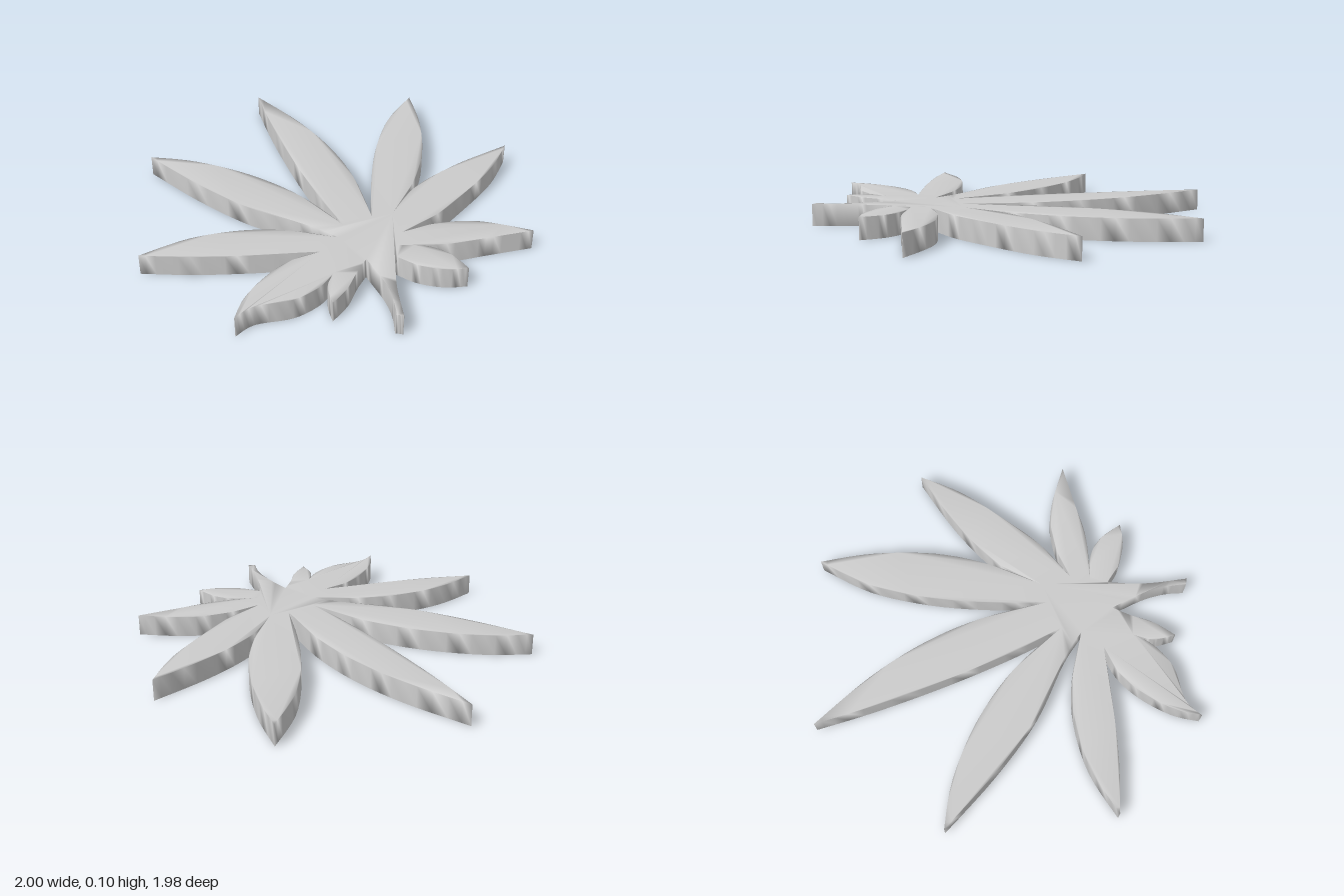
import * as THREE from 'three';
import { mergeVertices } from 'three/addons/utils/BufferGeometryUtils.js';

const THICKNESS = 0.105;
const TIP = [-0.05, -0.99];

// Outline edges as [x, z] points, clockwise from the middle tip.
// Each edge is one smooth curve starting where the previous one ended.
const rightSide = [
  // middle leaflet
  [[0.07, -0.66], [0.135, -0.35], [0.145, -0.05], [0.10, 0.29]],
  // upper leaflet
  [[0.21, 0.02], [0.35, -0.25], [0.53, -0.5], [0.74, -0.68]],
  [[0.68, -0.42], [0.56, -0.13], [0.4, 0.1], [0.20, 0.30]],
  // middle side leaflet
  [[0.39, 0.14], [0.67, 0.03], [0.995, -0.04]],
  [[0.83, 0.12], [0.6, 0.27], [0.4, 0.38], [0.18, 0.45]],
  // lower leaflet
  [[0.35, 0.445], [0.55, 0.5], [0.76, 0.66]],
  [[0.55, 0.635], [0.35, 0.61], [0.13, 0.535]],
  // small bottom leaflet
  [[0.25, 0.59], [0.32, 0.68], [0.35, 0.80]],
  [[0.25, 0.77], [0.15, 0.7], [0.085, 0.61]],
];
const stem = [
  [[0.03, 0.72], [-0.01, 0.83], [-0.05, 0.985]],
  [[-0.08, 0.965]],
  [[-0.05, 0.87], [-0.038, 0.75], [-0.05, 0.575]],
];
const leftSide = [
  // small bottom leaflet
  [[-0.12, 0.64], [-0.2, 0.73], [-0.30, 0.80]],
  [[-0.29, 0.72], [-0.27, 0.67], [-0.22, 0.61]],
  // lower leaflet with a curled tip
  [[-0.31, 0.68], [-0.45, 0.72], [-0.62, 0.70], [-0.72, 0.74]],
  [[-0.64, 0.63], [-0.5, 0.52], [-0.36, 0.46], [-0.22, 0.45]],
  // middle side leaflet
  [[-0.5, 0.37], [-0.77, 0.28], [-1.0, 0.18]],
  [[-0.75, 0.14], [-0.5, 0.17], [-0.3, 0.25], [-0.11, 0.38]],
  // upper leaflet
  [[-0.2, 0.25], [-0.42, 0.01], [-0.6, -0.28], [-0.755, -0.60]],
  [[-0.55, -0.475], [-0.33, -0.26], [-0.16, 0.0], [-0.05, 0.30]],
  // middle leaflet
  [[-0.075, 0.05], [-0.085, -0.3], [-0.075, -0.68], TIP],
];

export function createModel() {
  const group = new THREE.Group();
  group.name = 'leaf';

  // The outline is drawn flat, with shape y pointing to -z
  const shape = new THREE.Shape();
  shape.moveTo(TIP[0], -TIP[1]);
  for (const edge of [...rightSide, ...stem, ...leftSide]) {
    shape.splineThru(edge.map(([x, z]) => new THREE.Vector2(x, -z)));
  }

  // Flat plate whose caps and rim share normals, for a soft pillowed shading
  let geometry = new THREE.ExtrudeGeometry(shape, {
    depth: THICKNESS, bevelEnabled: false, curveSegments: 4,
  });
  geometry.rotateX(-Math.PI / 2);
  geometry.deleteAttribute('normal');
  geometry.deleteAttribute('uv');
  geometry = mergeVertices(geometry, 1e-4);
  geometry.computeVertexNormals();

  const blade = new THREE.Mesh(geometry, new THREE.MeshStandardMaterial({ color: 0xcccccc }));
  blade.name = 'leafBlade';
  group.add(blade);
  return group;
}
